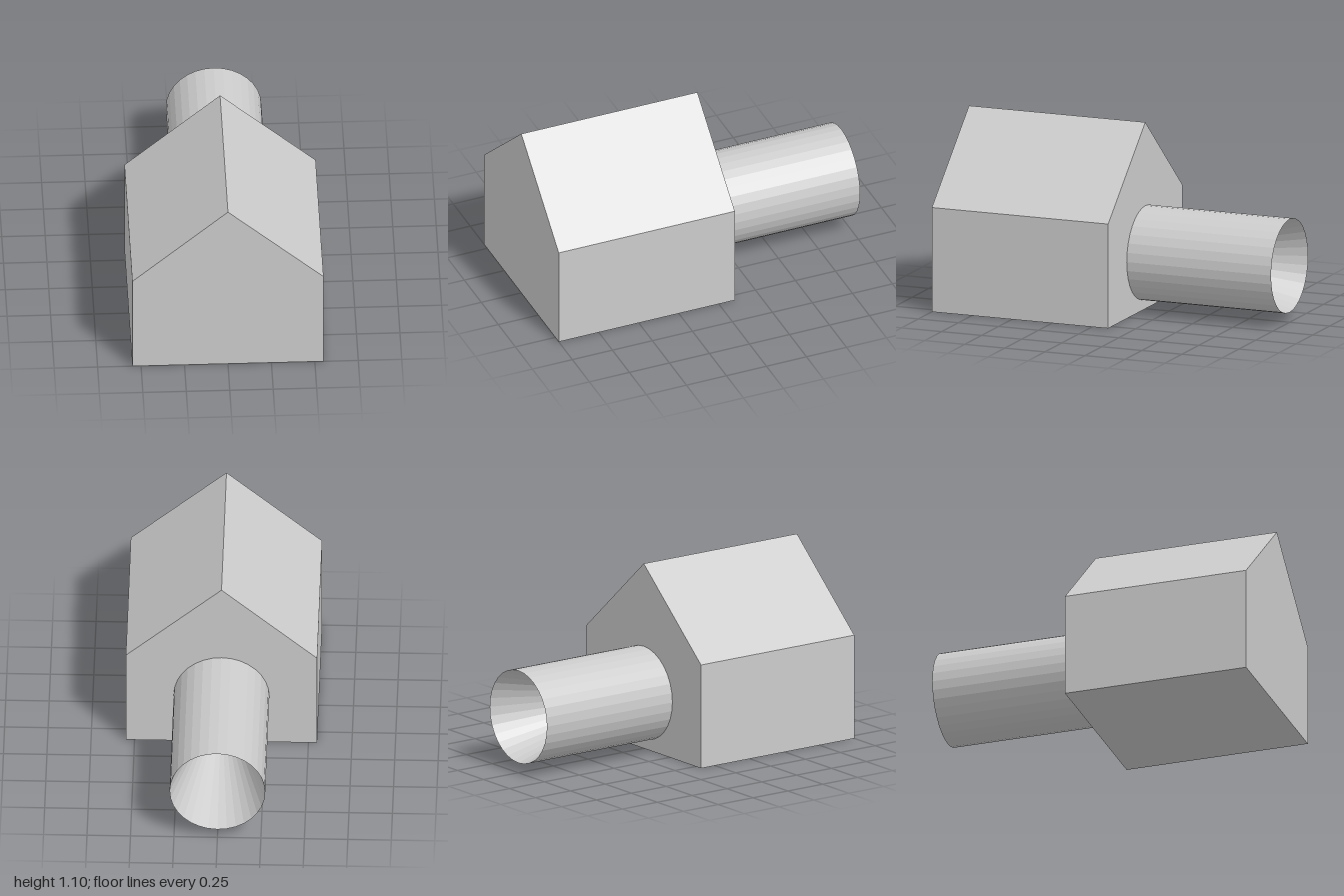
import * as THREE from 'three';

export function createModel() {
  const model = new THREE.Group();
  const material = new THREE.MeshStandardMaterial({ color: 0xcccccc, flatShading: true });
  const inner = material.clone();
  inner.side = THREE.BackSide;

  const add = (name, geometry, mat = material) => {
    const mesh = new THREE.Mesh(geometry, mat);
    mesh.name = name;
    model.add(mesh);
  };

  // Gabled block: five-sided profile extruded along z
  const gable = new THREE.Shape([
    [-0.55, 0], [0.55, 0], [0.55, 0.615], [0, 1.1], [-0.55, 0.615],
  ].map(([x, y]) => new THREE.Vector2(x, y)));
  add('gabledBody', new THREE.ExtrudeGeometry(gable, { depth: 1.1, bevelEnabled: false })
    .translate(0, 0, -0.1));

  // Faceted pipe out of the back wall, sharp rim at its open end
  const sides = 32, radius = 0.275, length = 0.9, axisY = 0.333;
  const place = (geometry) => geometry.rotateX(-Math.PI / 2).translate(0, axisY, -0.1 - length / 2);
  add('pipe', place(new THREE.CylinderGeometry(radius, radius, length, sides, 1, true)));

  // Conical bore narrowing from the rim to a point at the back wall
  add('conicalBore', place(new THREE.CylinderGeometry(radius, 0, length, sides, 1, true)), inner);

  return model;
}
